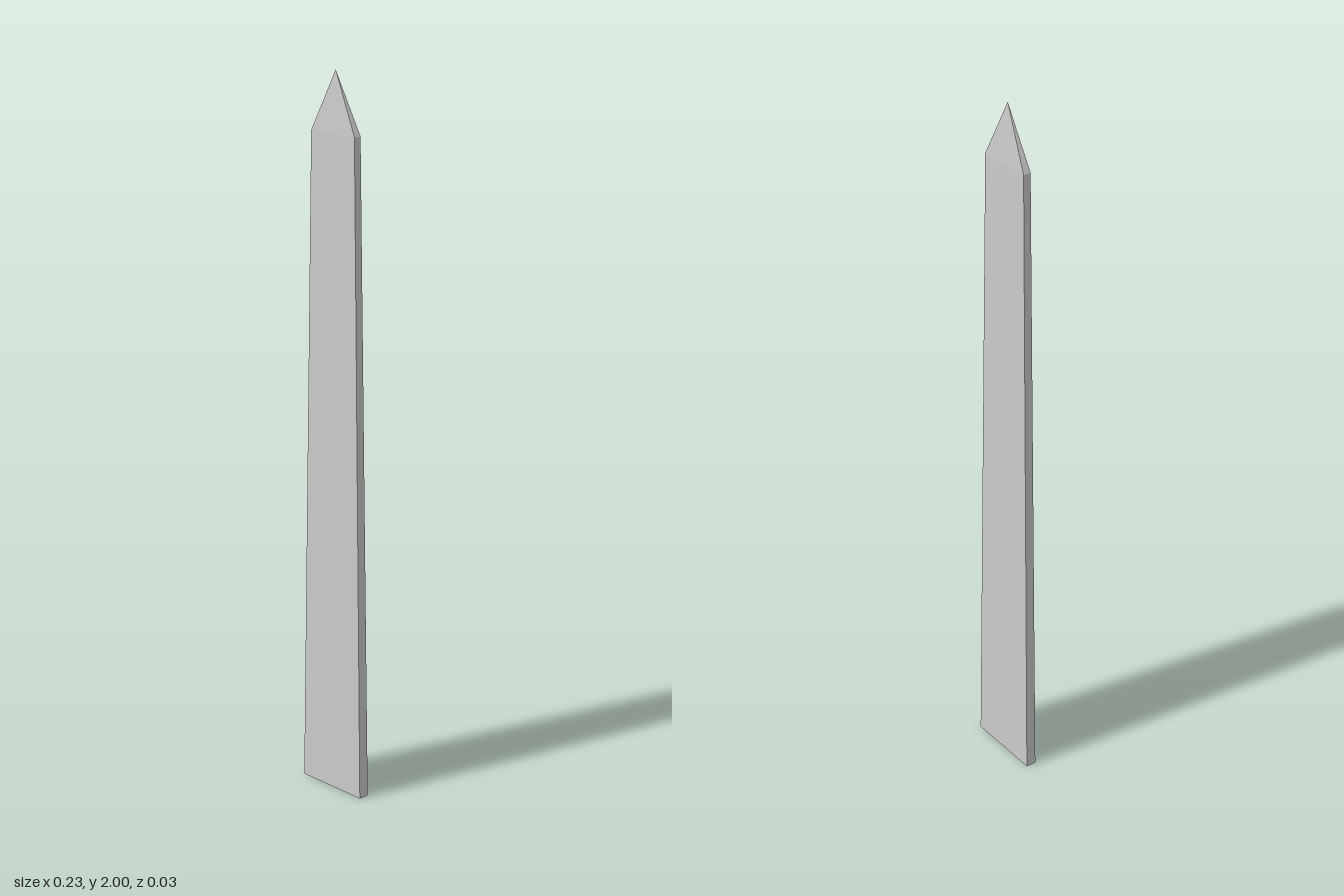
import * as THREE from 'three';

const BASE = 0.115, SHOULDER = 0.083, SHOULDER_Y = 1.835, HEIGHT = 2;
const DEPTH_RATIO = 0.13; // thickness relative to width

// Four-sided solid from a profile of [half width, y], flattened along z
function slab(name, profile, material) {
  const points = profile.map(([half, y]) => new THREE.Vector2(half * Math.SQRT2, y));
  const geometry = new THREE.LatheGeometry(points, 4, Math.PI / 4)
    .scale(1, 1, DEPTH_RATIO)
    .toNonIndexed();
  geometry.computeVertexNormals();
  const mesh = new THREE.Mesh(geometry, material);
  mesh.name = name;
  return mesh;
}

export function createModel() {
  const group = new THREE.Group();
  group.name = 'obelisk';
  const material = new THREE.MeshStandardMaterial({ color: 0xcccccc, flatShading: true });

  // Tapered shaft with closed base
  group.add(slab('shaft', [[0, 0], [BASE, 0], [SHOULDER, SHOULDER_Y]], material));
  // Pyramid point
  group.add(slab('tip', [[SHOULDER, SHOULDER_Y], [0, HEIGHT]], material));
  return group;
}
